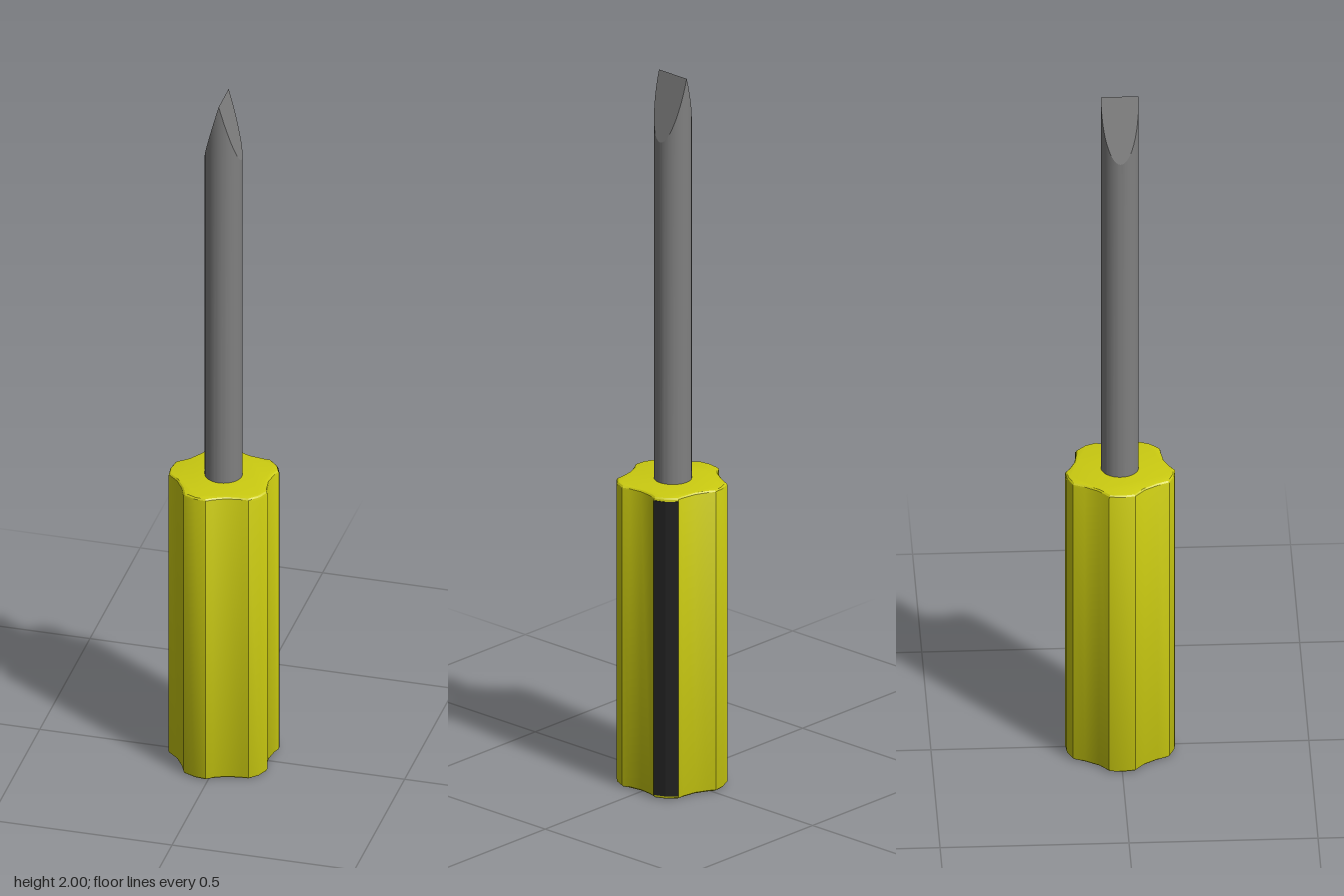
import * as THREE from 'three';
import { toCreasedNormals } from 'three/addons/utils/BufferGeometryUtils.js';

// Extrude an outline upwards from y = base, with an optional rounded rim
function extrudeUp(points, base, height, bevel) {
  const geometry = new THREE.ExtrudeGeometry(
    new THREE.Shape(points.map(([x, y]) => new THREE.Vector2(x, y))),
    {
      depth: height - 2 * bevel,
      bevelEnabled: bevel > 0,
      bevelThickness: bevel,
      bevelSize: bevel,
      bevelOffset: -bevel,
      bevelSegments: 3,
    },
  );
  geometry.rotateX(-Math.PI / 2).translate(0, base + bevel, 0);
  return geometry;
}

function addMesh(group, name, geometry, color) {
  const mesh = new THREE.Mesh(geometry, new THREE.MeshStandardMaterial({ color }));
  mesh.name = name;
  group.add(mesh);
}

export function createModel() {
  const group = new THREE.Group();
  group.name = 'screwdriver';

  // Fluted five-lobed handle: half outline from the right flute to the left lobe, mirrored
  const half = [
    [0.128, 0], [0.133, 0.038], [0.14, 0.058], [0.127, 0.088], [0.103, 0.112],
    [0.085, 0.113], [0.045, 0.119], [0.012, 0.134], [-0.006, 0.146], [-0.037, 0.143],
    [-0.071, 0.128], [-0.085, 0.097], [-0.108, 0.061], [-0.138, 0.035], [-0.143, 0],
  ];
  const mirrored = half.slice(1, -1).reverse().map(([x, y]) => [x, -y]);
  const handle = extrudeUp([...half, ...mirrored], 0, 0.855, 0.01);
  addMesh(group, 'handle', toCreasedNormals(handle, 0.45), 0xcccc11);

  // Thin dark strip lying on one lobe
  const strip = [
    [0.136, 0.057], [0.1415, 0.058], [0.1285, 0.0892], [0.104, 0.1135],
    [0.1, 0.109], [0.123, 0.085],
  ];
  addMesh(group, 'labelStrip', extrudeUp(strip, 0.01, 0.835, 0), 0x222222);

  // Round shaft whose top is cut by two sloping planes into a wedge
  const radius = 0.05;
  const shaft = new THREE.CylinderGeometry(radius, radius, 1, 48);
  const position = shaft.attributes.position;
  for (let i = 0; i < position.count; i++) {
    const isTop = position.getY(i) > 0;
    const cut = 2 - 0.18 * Math.abs(position.getX(i)) / radius;
    position.setY(i, isTop ? cut : 0.8);
  }
  shaft.translate(0.004, 0, 0);
  addMesh(group, 'shaft', toCreasedNormals(shaft, 0.2), 0x808080);

  return group;
}
